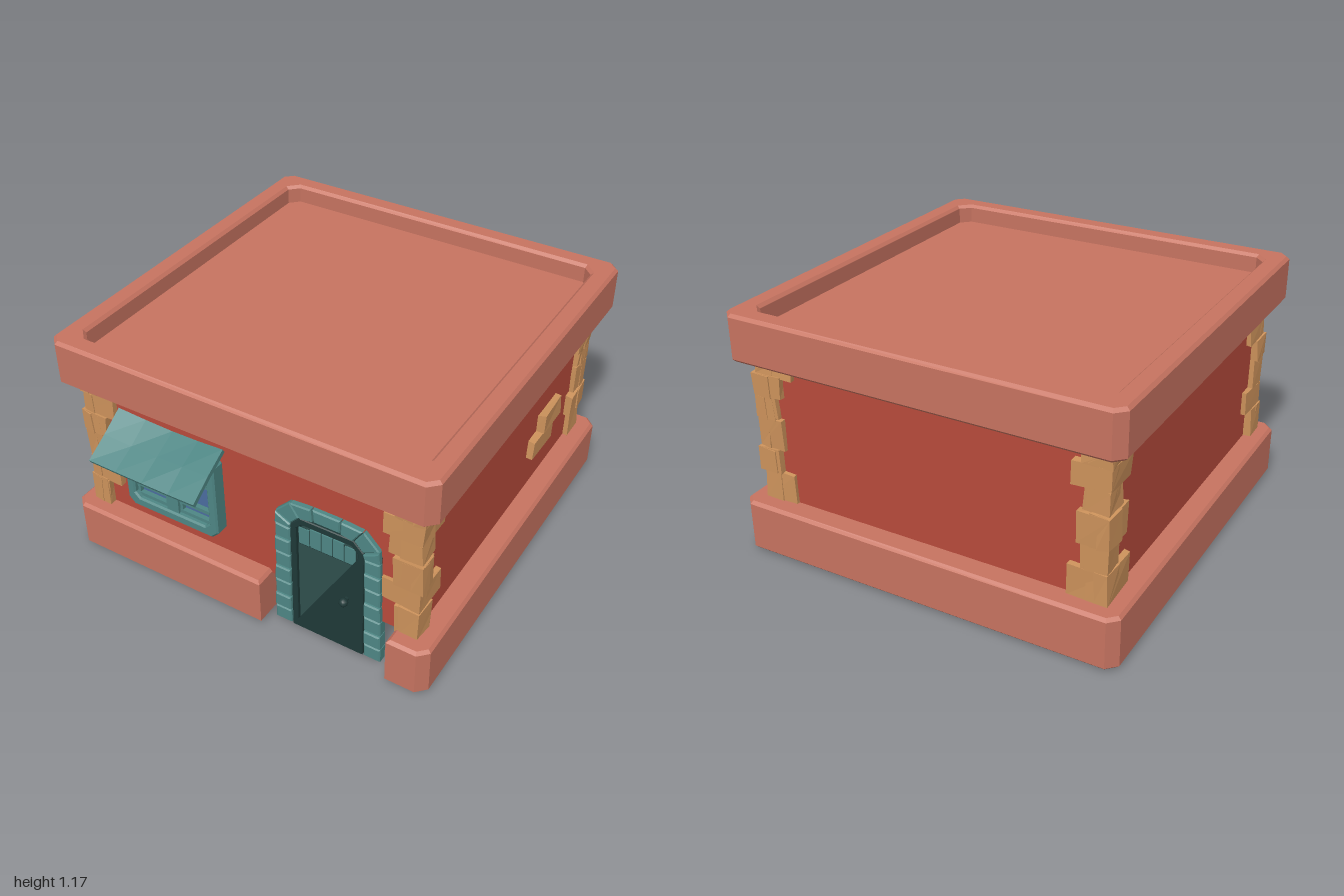
import * as THREE from 'three';

const CZ = -0.0675; // depth centre of the building
const HALF = 0.9325, WALL = 0.83;

const mat = (name, color, side = THREE.FrontSide) => {
  const m = new THREE.MeshStandardMaterial({ color, side });
  m.name = name;
  return m;
};

// Corner-cut rectangle points, counter-clockwise from the bottom left
const cutRect = (x0, y0, x1, y1, c) => [
  [x0 + c, y0], [x1 - c, y0], [x1, y0 + c], [x1, y1 - c],
  [x1 - c, y1], [x0 + c, y1], [x0, y1 - c], [x0, y0 + c]];
const vecs = pts => pts.map(p => new THREE.Vector2(p[0], p[1]));

// Solid outline between two depths with a small flat bevel
function slab(pts, z0, z1, bevel = 0, holes = []) {
  const shape = new THREE.Shape(vecs(pts));
  holes.forEach(h => shape.holes.push(new THREE.Path(vecs(h))));
  const g = new THREE.ExtrudeGeometry(shape, {
    depth: z1 - z0 - 2 * bevel, bevelEnabled: bevel > 0, bevelSize: bevel,
    bevelThickness: bevel, bevelOffset: -bevel, bevelSegments: 1 });
  return g.translate(0, 0, z0 + bevel);
}

// Box with corners nudged by position, for hand-cut stone
function stone(x0, y0, z0, x1, y1, z1, amount = 0.006) {
  const g = new THREE.BoxGeometry(Math.abs(x1 - x0), y1 - y0, Math.abs(z1 - z0))
    .translate((x0 + x1) / 2, (y0 + y1) / 2, (z0 + z1) / 2).toNonIndexed();
  const p = g.attributes.position;
  for (let i = 0; i < p.count; i++) {
    const x = p.getX(i), y = p.getY(i), z = p.getZ(i);
    const s = Math.round(x * 1000) * 1.7 + Math.round(y * 1000) * 2.3 + Math.round(z * 1000) * 0.9;
    p.setXYZ(i, x + amount * Math.sin(s), y + amount * Math.sin(s * 1.3 + 1), z + amount * Math.sin(s * 1.9 + 2));
  }
  g.computeVertexNormals();
  return g;
}

export function createModel() {
  const salmon = mat('salmon plaster', 0xc67360);
  const red = mat('red wall', 0xb74a3b, THREE.DoubleSide);
  const tan = mat('tan brick', 0xcc925b);
  const teal = mat('teal trim', 0x4e8684);
  const dark = mat('dark teal', 0x1f3938);
  const doorMat = mat('door green', 0x2f4f4d);
  const blue = mat('blue glass', 0x4a6c9e);

  const root = new THREE.Group();
  root.name = 'house';
  const group = name => {
    const g = new THREE.Group();
    g.name = name;
    root.add(g);
    return g;
  };
  const add = (name, geo, m, parent = root) => {
    const mesh = new THREE.Mesh(geo, m);
    mesh.name = name;
    parent.add(mesh);
    return mesh;
  };
  const box = (name, x0, y0, z0, x1, y1, z1, m, parent) =>
    add(name, new THREE.BoxGeometry(x1 - x0, y1 - y0, z1 - z0)
      .translate((x0 + x1) / 2, (y0 + y1) / 2, (z0 + z1) / 2), m, parent);

  // Roof parapet and sunken roof deck
  const ring = h => cutRect(-h, -h, h, h, 0.045);
  add('roofParapet', slab(ring(HALF), 0.95, 1.17, 0.014, [ring(0.835)])
    .rotateX(-Math.PI / 2).translate(0, 0, CZ), salmon);
  box('roofDeck', -0.85, 1.05, CZ - 0.85, 0.85, 1.08, CZ + 0.85, salmon);

  // Plinth, open at the doorway
  const i = 0.79, c = 0.045, H = HALF;
  add('plinth', slab([
    [0.745, -H], [H - c, -H], [H, -H + c], [H, H - c], [H - c, H], [-H + c, H],
    [-H, H - c], [-H, -H + c], [-H + c, -H], [0.115, -H], [0.115, -i],
    [-i, -i], [-i, i], [i, i], [i, -i], [0.745, -i]], 0.01, 0.26, 0.014)
    .rotateX(-Math.PI / 2).translate(0, 0, CZ), salmon);

  // Walls: thin sheets, the front one cut for the door
  const front = new THREE.Shape(vecs([
    [-WALL, 0.24], [0.2, 0.24], [0.2, 0.62], [0.26, 0.69], [0.56, 0.69],
    [0.62, 0.62], [0.62, 0.24], [WALL, 0.24], [WALL, 0.98], [-WALL, 0.98]]));
  add('frontWall', new THREE.ShapeGeometry(front).translate(0, 0, CZ + WALL), red);
  for (const [name, turn] of [['rightWall', -1], ['leftWall', 1], ['backWall', 2]])
    add(name, new THREE.PlaneGeometry(2 * WALL, 0.74).translate(0, 0.61, WALL)
      .rotateY(turn * Math.PI / 2).translate(0, 0, CZ), red);

  // Corner stones: one course per height step, reach along x and along z
  const levels = [0.25, 0.405, 0.52, 0.67, 0.775, 0.88, 0.96];
  const corners = [
    ['frontRightModelCorner', -1, 1, [.09, .17, .11, .13, .17, .14], [.12, .18, .1, .11, .18, .13]],
    ['frontLeftModelCorner', 1, 1, [.12, .18, .13, .15, .18, .14], [.1, .18, .1, .11, .18, .12]],
    ['backLeftModelCorner', 1, -1, [.16, .11, .13, .11, .15, .2], [.12, .17, .12, .12, .17, .23]],
    ['backRightModelCorner', -1, -1, [.18, .12, .15, .11, .17, .13], [.2, .11, .16, .12, .18, .13]]];
  for (const [name, sx, sz, rx, rz] of corners) {
    const g = group(name);
    rx.forEach((lx, k) => {
      const out = 0.857 + 0.007 * Math.sin(k * 2.4 + sx + 2 * sz), t = 0.055;
      const block = (ax, az) => add('cornerStone', stone(
        sx * (out - ax), levels[k], CZ + sz * (out - az),
        sx * out, levels[k + 1], CZ + sz * out, 0.005), tan, g);
      block(lx, t);
      block(t, rz[k]);
      block(0.095, 0.095);
    });
  }

  // Exposed bricks on the side wall
  const bricks = group('exposedBricks');
  add('brick', stone(0.81, 0.54, -0.605, 0.865, 0.635, -0.40), tan, bricks);
  add('brick', stone(0.81, 0.45, -0.52, 0.862, 0.54, -0.31), tan, bricks);

  // Door, built around its own centre line
  const door = group('door');
  door.position.x = 0.41;
  const arch = (w, top, cut) => [[-w, 0], [w, 0], [w, top - cut], [w - cut, top], [cut - w, top], [-w, top - cut]];
  add('doorBacking', slab(arch(0.255, 0.705, 0.1), 0.735, 0.766), dark, door);
  add('doorTrim', slab(arch(0.178, 0.655, 0.05), 0.74, 0.785, 0.004,
    [[[-0.15, 0.008], [0.15, 0.008], [0.15, 0.59], [0.12, 0.62], [-0.12, 0.62], [-0.15, 0.59]]]), dark, door);
  add('doorLeaf', slab(arch(0.145, 0.612, 0.03), 0.725, 0.773), doorMat, door);
  box('doorLightsBacking', -0.143, 0.505, 0.77, 0.143, 0.6, 0.775, dark, door);
  for (let k = 0; k < 5; k++) {
    const x = -0.138 + k * 0.056;
    box('doorLight', x, 0.512, 0.77, x + 0.051, k % 4 ? 0.61 : 0.6, 0.779, teal, door);
  }
  const knob = add('doorKnob', new THREE.SphereGeometry(0.021, 10, 8), dark, door);
  knob.position.set(0.1, 0.31, 0.812);
  add('knobStem', new THREE.CylinderGeometry(0.012, 0.012, 0.05, 8)
    .rotateX(Math.PI / 2).translate(0.1, 0.31, 0.79), dark, door);

  // Door surround: stones between an outer and an inner line, mirrored
  const outer = [[-.27, 0], [-.27, .08], [-.267, .16], [-.267, .245], [-.262, .33], [-.262, .415],
    [-.26, .5], [-.258, .58], [-.253, .645], [-.175, .725], [-.07, .733]];
  const inner = [[-.182, 0], [-.182, .08], [-.182, .16], [-.18, .245], [-.18, .33], [-.18, .415],
    [-.178, .5], [-.178, .575], [-.172, .605], [-.13, .65], [-.065, .66]];
  const flip = list => list.map(([x, y]) => [-x, y]).reverse();
  const o = [...outer, ...flip(outer)], n = [...inner, ...flip(inner)];
  for (let k = 0; k < o.length - 1; k++) {
    const quad = [o[k], n[k], n[k + 1], o[k + 1]];
    const mx = quad.reduce((s, p) => s + p[0], 0) / 4, my = quad.reduce((s, p) => s + p[1], 0) / 4;
    const inset = quad.map(([x, y]) => [x + Math.sign(mx - x) * 0.003, y + Math.sign(my - y) * 0.003]);
    add('surroundStone', slab(inset, 0.735, 0.786 + 0.004 * (k % 2), 0.006), teal, door);
  }

  // Window
  const win = group('window');
  const opening = cutRect(-0.575, 0.42, -0.165, 0.76, 0.025);
  add('windowFrame', slab(cutRect(-0.62, 0.37, -0.12, 0.8, 0.035), 0.755, 0.83, 0.008, [opening]), teal, win);
  box('windowBack', -0.6, 0.39, 0.756, -0.14, 0.78, 0.78, teal, win);
  box('glass', -0.58, 0.415, 0.78, -0.16, 0.765, 0.786, blue, win);
  box('mullion', -0.402, 0.42, 0.78, -0.338, 0.76, 0.82, teal, win);
  for (const [x0, x1] of [[-0.575, -0.402], [-0.338, -0.165]]) {
    for (const y of [0.42, 0.475, 0.62])
      box('crossBar', x0, y, 0.78, x1, y + 0.018, 0.808, teal, win);
    for (const x of [x0, x1 - 0.014]) box('sashStile', x, 0.42, 0.78, x + 0.014, 0.76, 0.806, teal, win);
  }

  // Awning: a sloping, slightly sagging board
  const awning = new THREE.BoxGeometry(0.555, 0.024, 0.262, 4, 1, 2).toNonIndexed();
  const p = awning.attributes.position;
  for (let k = 0; k < p.count; k++) {
    const x = p.getX(k), z = p.getZ(k);
    p.setY(k, p.getY(k) + 0.022 * (x / 0.28) ** 2 - 0.012 + 0.006 * Math.sin(x * 9 + z * 14));
  }
  awning.computeVertexNormals();
  add('awning', awning.rotateX(0.53).translate(-0.373, 0.772, 0.881), teal);

  return root;
}
